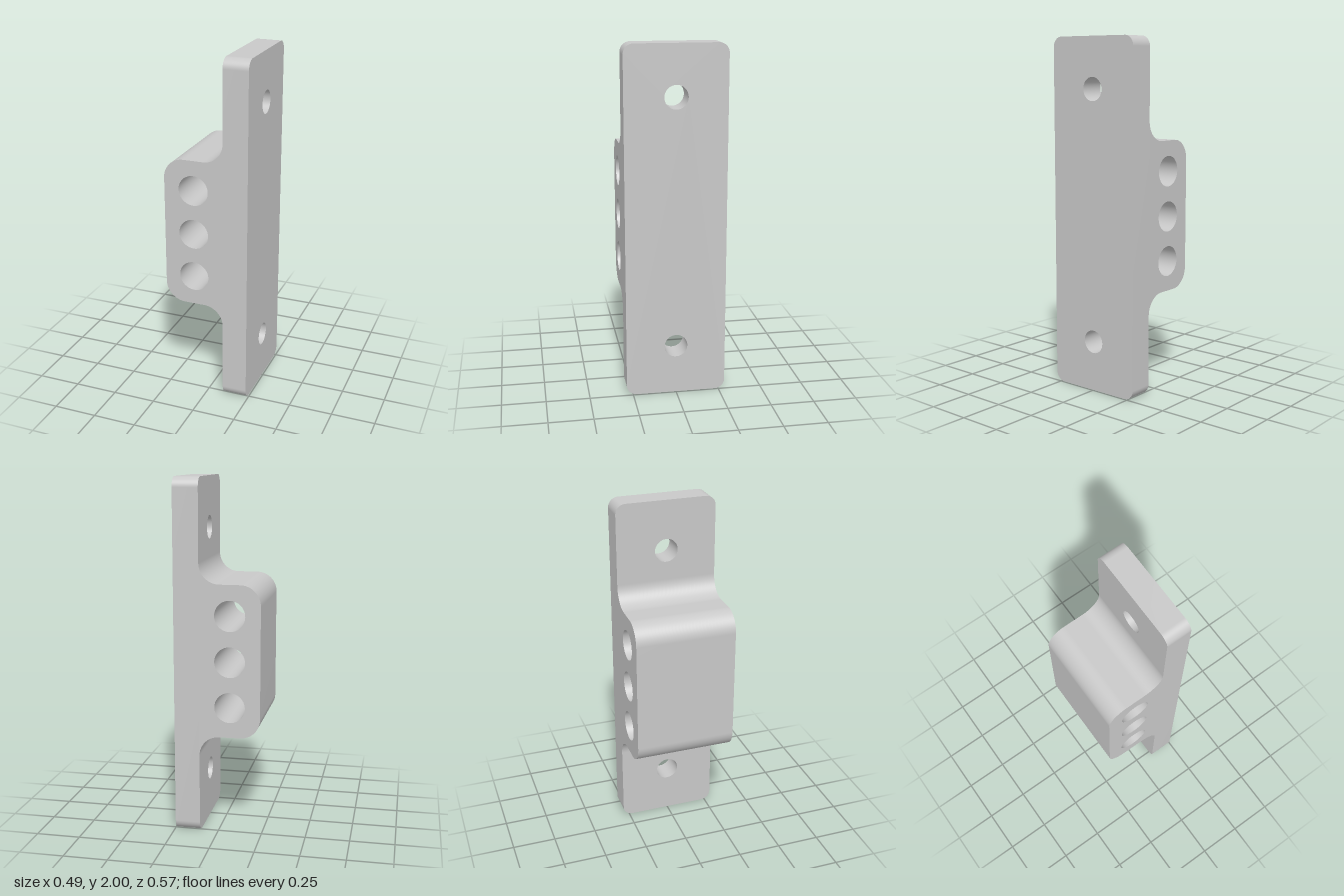
import * as THREE from 'three';
import { toCreasedNormals } from 'three/addons/utils/BufferGeometryUtils.js';

const HALF_W = 0.286;   // half width along z
const FACE = 0.1;       // plate face that carries the block
const EDGE = 0.243;     // outer x extent on both sides

// Extrude a profile with crisp edges and smooth curves.
// Normals are worked out at 100x so that closely spaced arc points stay distinct.
function extrude(shape, depth) {
  const geometry = new THREE.ExtrudeGeometry(shape, { depth, bevelEnabled: false, curveSegments: 32 });
  geometry.scale(100, 100, 100);
  return toCreasedNormals(geometry, Math.PI / 6).scale(0.01, 0.01, 0.01);
}

function addHole(shape, x, y, r) {
  shape.holes.push(new THREE.Path().absarc(x, y, r, 0, Math.PI * 2, true));
}

// Rounded mounting plate with two screw holes
function plateGeometry() {
  const r = 0.057, w = HALF_W, q = Math.PI / 2;
  const shape = new THREE.Shape();
  shape.absarc(w - r, r, r, -q, 0, false);
  shape.absarc(w - r, 2 - r, r, 0, q, false);
  shape.absarc(-w + r, 2 - r, r, q, 2 * q, false);
  shape.absarc(-w + r, r, r, 2 * q, 3 * q, false);
  shape.closePath();
  for (const y of [0.286, 1.714]) addHole(shape, 0, y, 0.066);
  return extrude(shape, EDGE - FACE).rotateY(Math.PI / 2).translate(FACE, 0, 0);
}

// Block with filleted roots, rounded corners and three through bores,
// outlined counter-clockwise from the upper root
function blockGeometry() {
  const r = 0.114, q = Math.PI / 2, low = 0.571, high = 1.429;
  const shape = new THREE.Shape();
  shape.absarc(FACE - r, high + r, r, 0, -q, true);
  shape.absarc(-EDGE + r, high - r, r, q, 2 * q, false);
  shape.absarc(-EDGE + r, low + r, r, 2 * q, 3 * q, false);
  shape.absarc(FACE - r, low - r, r, q, 0, true);
  shape.closePath();
  for (const y of [0.743, 1, 1.257]) addHole(shape, -0.072, y, 0.086);
  return extrude(shape, 2 * HALF_W).translate(0, 0, -HALF_W);
}

export function createModel() {
  const model = new THREE.Group();
  model.name = 'mountingBracket';
  const grey = new THREE.MeshStandardMaterial({ color: 0xc8c8c8 });
  grey.name = 'lightGrey';

  const plate = new THREE.Mesh(plateGeometry(), grey);
  plate.name = 'mountingPlate';
  const block = new THREE.Mesh(blockGeometry(), grey);
  block.name = 'boredBlock';
  model.add(plate, block);
  return model;
}
